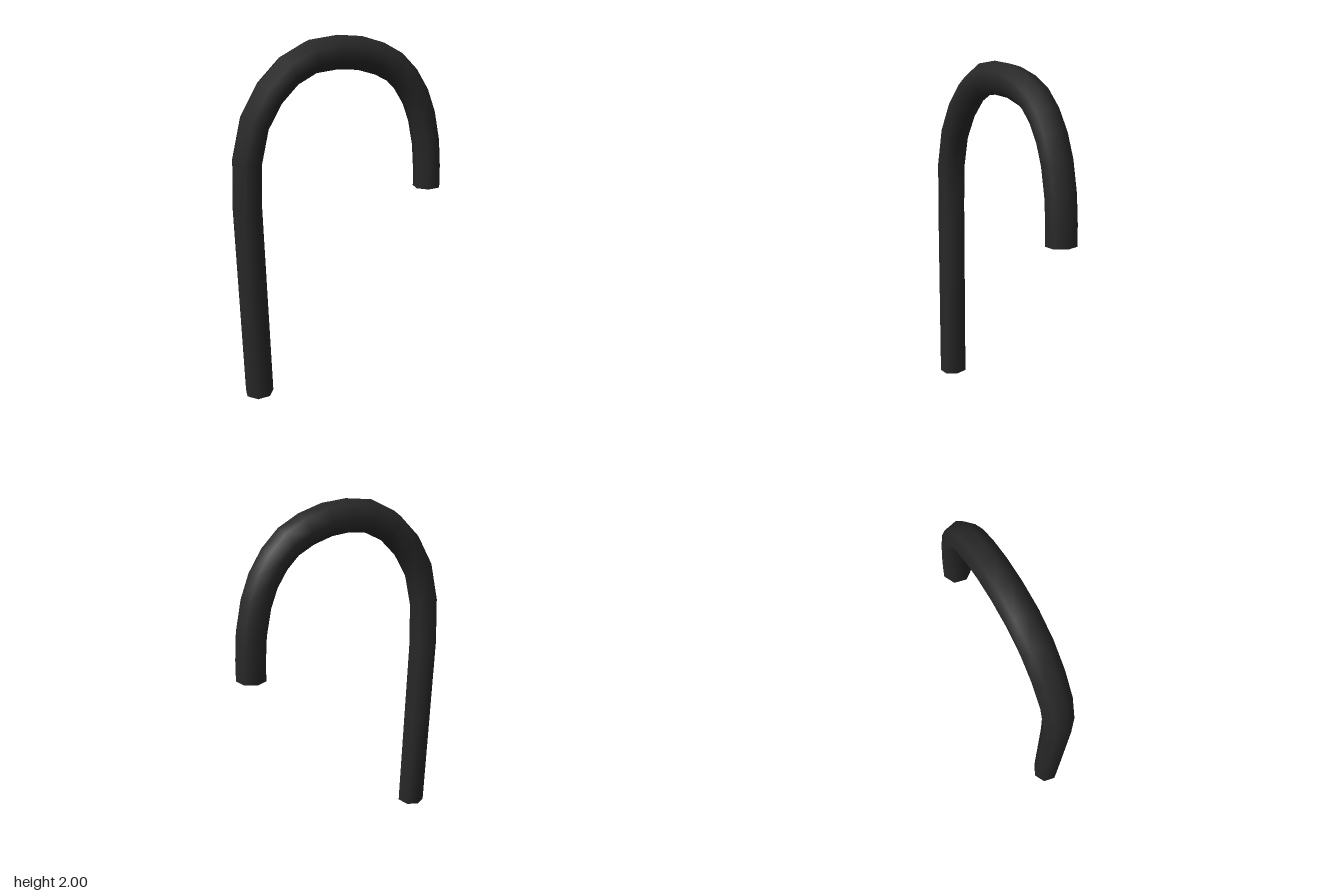
import * as THREE from 'three';

// Centre line of the cane: shaft foot, shaft top, then round the crook to its tip
const PATH = [
  [-0.54, 0.003, 0.012], [-0.563, 1.11, -0.01], [-0.553, 1.365, -0.01], [-0.505, 1.565, -0.01],
  [-0.415, 1.718, -0.009], [-0.305, 1.828, -0.007], [-0.178, 1.893, -0.005], [-0.035, 1.91, -0.002],
  [0.095, 1.90, 0], [0.215, 1.865, 0.002], [0.315, 1.813, 0.004], [0.395, 1.735, 0.006],
  [0.46, 1.635, 0.008], [0.505, 1.52, 0.009], [0.538, 1.365, 0.01], [0.55, 1.22, 0.01], [0.553, 1.105, 0.01],
].map((p) => new THREE.Vector3(...p));

const SIDES = 7;
const RADIUS = new THREE.Vector3(0.081, 0.092, 0.0845); // slightly taller than wide

// Seven-sided ring square to the path at point i
function ring(i) {
  const last = PATH.length - 1;
  const a = PATH[Math.max(i - 1, 0)], b = PATH[Math.min(i + 1, last)], p = PATH[i];
  const dir = (from, to) => to.clone().sub(from).setZ(0).divide(RADIUS).normalize();
  const t = new THREE.Vector3();
  if (i > 0) t.add(dir(a, p));
  if (i < last) t.add(dir(p, b));
  t.normalize();
  return Array.from({ length: SIDES }, (_, k) => {
    const ang = -Math.PI / 2 + (k / SIDES) * Math.PI * 2;
    const c = Math.cos(ang);
    return new THREE.Vector3(-t.y * c, t.x * c, Math.sin(ang)).multiply(RADIUS).add(p);
  });
}

function geometryFrom(points, index) {
  const g = new THREE.BufferGeometry().setFromPoints(points);
  g.setIndex(index);
  g.computeVertexNormals();
  return g;
}

// Fan that closes one end
function capGeometry(points, centre, flip) {
  const index = [];
  for (let k = 0; k < SIDES; k++) {
    const n = (k + 1) % SIDES;
    index.push(SIDES, flip ? n : k, flip ? k : n);
  }
  return geometryFrom([...points, centre], index);
}

export function createModel() {
  const group = new THREE.Group();
  group.name = 'cane';
  const material = new THREE.MeshStandardMaterial({ color: 0x282828 });
  const add = (name, geometry) => {
    const mesh = new THREE.Mesh(geometry, material);
    mesh.name = name;
    group.add(mesh);
  };

  // Shaft and crook as one smooth swept skin
  const rings = PATH.map((_, i) => ring(i));
  const index = [];
  for (let i = 0; i < rings.length - 1; i++) {
    for (let k = 0; k < SIDES; k++) {
      const n = (k + 1) % SIDES;
      const a = i * SIDES + k, b = i * SIDES + n;
      index.push(a, b, b + SIDES, a, b + SIDES, a + SIDES);
    }
  }
  add('shaftAndCrook', geometryFrom(rings.flat(), index));

  // Flat ends
  add('footCap', capGeometry(rings[0], PATH[0], true));
  add('tipCap', capGeometry(rings.at(-1), PATH.at(-1), false));
  return group;
}
